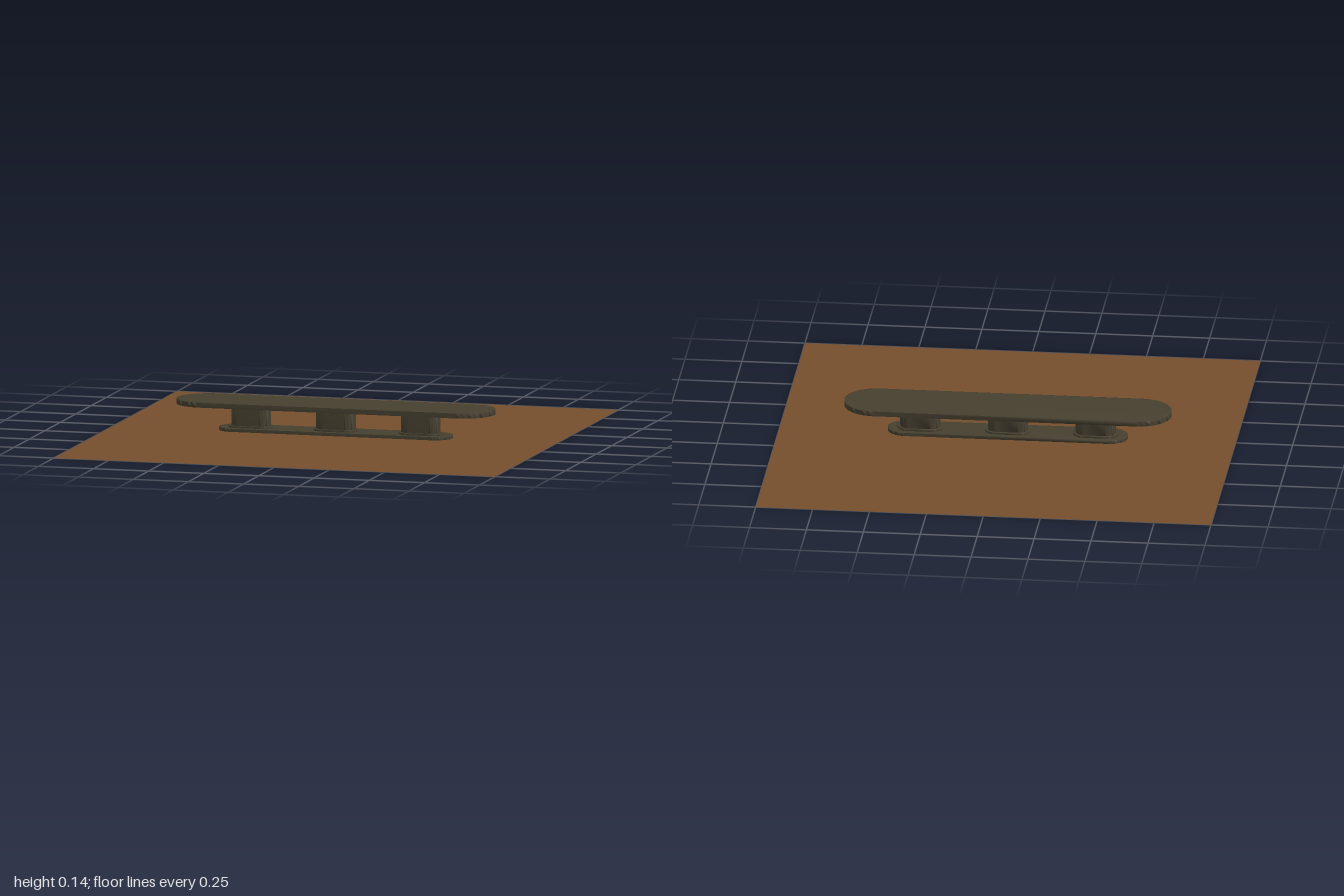
import * as THREE from 'three';
import { mergeVertices } from 'three/addons/utils/BufferGeometryUtils.js';

// Horizontal slab with semicircular ends, softly shaded across its rim
function stadiumSlab(halfLength, radius, y0, y1) {
  const straight = halfLength - radius;
  const shape = new THREE.Shape();
  shape.moveTo(-straight, -radius);
  shape.lineTo(straight, -radius);
  shape.absarc(straight, 0, radius, -Math.PI / 2, Math.PI / 2, false);
  shape.lineTo(-straight, radius);
  shape.absarc(-straight, 0, radius, Math.PI / 2, Math.PI * 1.5, false);
  let geometry = new THREE.ExtrudeGeometry(shape, { depth: y1 - y0, bevelEnabled: false, curveSegments: 16 });
  geometry.rotateX(-Math.PI / 2);
  geometry.translate(0, y0, 0);
  geometry.deleteAttribute('uv');
  geometry.deleteAttribute('normal');
  geometry.clearGroups();
  geometry = mergeVertices(geometry, 1e-5);
  geometry.computeVertexNormals();
  return geometry;
}

export function createModel() {
  const group = new THREE.Group();
  const darkWood = new THREE.MeshStandardMaterial({ color: 0x464030 });
  darkWood.name = 'darkWood';
  const brownFloor = new THREE.MeshStandardMaterial({ color: 0x754f2d, side: THREE.DoubleSide });
  brownFloor.name = 'brownFloor';

  const add = (name, geometry, material, x = 0) => {
    const mesh = new THREE.Mesh(geometry, material);
    mesh.name = name;
    mesh.position.x = x;
    group.add(mesh);
  };

  // Floor sheet
  add('floor', new THREE.PlaneGeometry(2, 2).rotateX(-Math.PI / 2), brownFloor);

  // Long table top and base plate
  add('tableTop', stadiumSlab(0.718, 0.141, 0.113, 0.135), darkWood);
  add('basePlate', stadiumSlab(0.527, 0.078, 0.002, 0.016), darkWood);

  // Three pedestals, each on a thin foot
  const foot = stadiumSlab(0.1, 0.052, 0.014, 0.024);
  const column = stadiumSlab(0.088, 0.041, 0.02, 0.115);
  for (const x of [-0.385, 0, 0.385]) {
    add('pedestalFoot', foot, darkWood, x);
    add('pedestal', column, darkWood, x);
  }
  return group;
}
